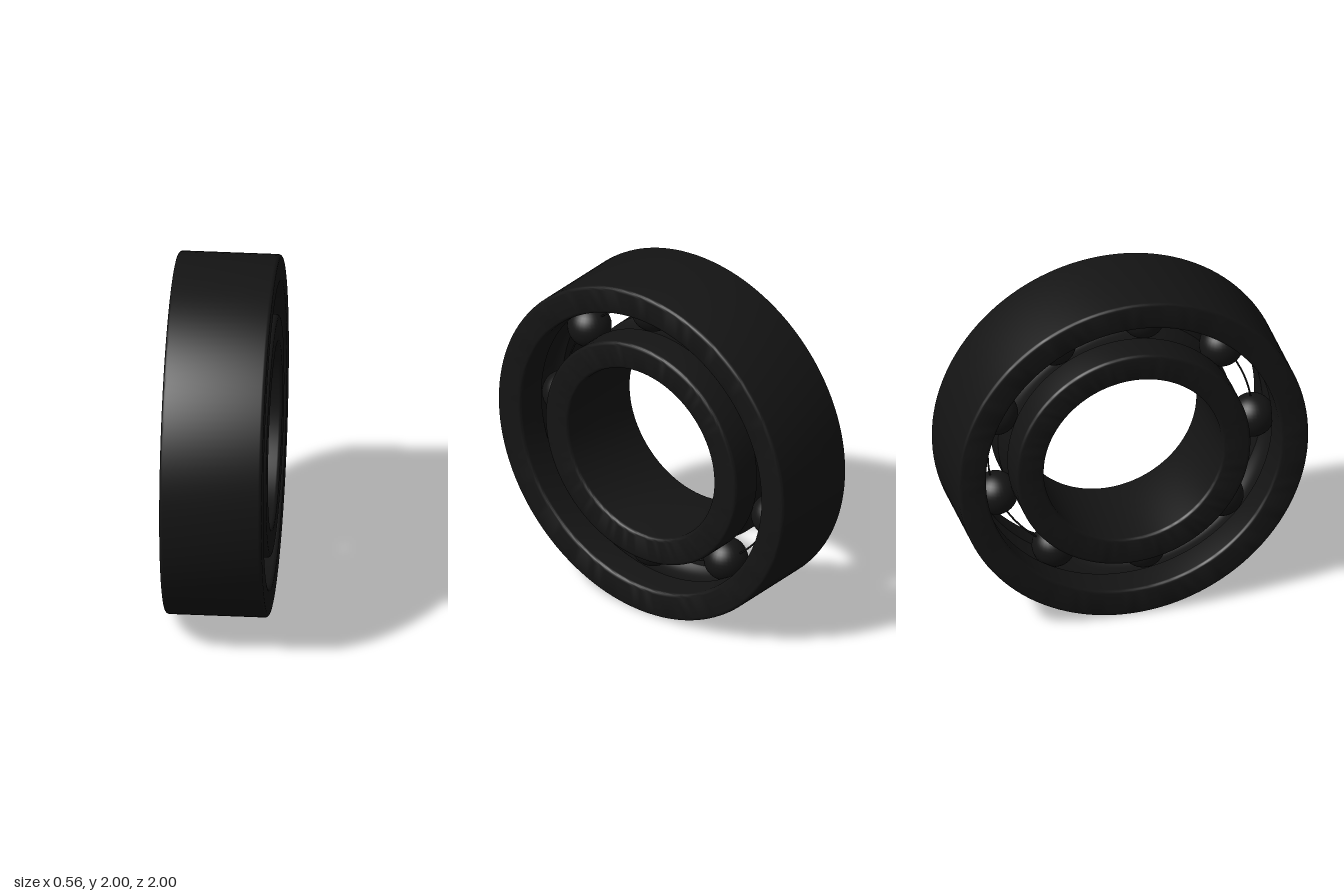
import * as THREE from 'three';
import { toCreasedNormals } from 'three/addons/utils/BufferGeometryUtils.js';

const HALF = 0.2825;   // half width along the axle
const PITCH = 0.755;   // radius of the circle of balls
const BALL = 0.123;
const GROOVE = 0.127;
const EDGE = 0.02;     // rounded edge radius
const BALLS = 9;

const material = new THREE.MeshStandardMaterial({ color: 0x141414 });

// Points of an arc in the (radius, axis) plane
function arc(cx, cy, r, from, to, steps) {
  return Array.from({ length: steps + 1 }, (_, i) => {
    const a = from + (to - from) * i / steps;
    return new THREE.Vector2(cx + r * Math.cos(a), cy + r * Math.sin(a));
  });
}

// Rounded rectangular ring section with a ball groove on one side
function race(name, rIn, rOut, grooveOutside) {
  const q = Math.PI / 2;
  const lo = rIn + EDGE, hi = rOut - EDGE, top = HALF - EDGE;
  const half = Math.acos(Math.abs((grooveOutside ? rOut : rIn) - PITCH) / GROOVE);
  const groove = grooveOutside
    ? arc(PITCH, 0, GROOVE, Math.PI + half, Math.PI - half, 16)
    : arc(PITCH, 0, GROOVE, half, -half, 16);
  const points = [
    ...arc(hi, -top, EDGE, -q, 0, 4),
    ...(grooveOutside ? groove : []),
    ...arc(hi, top, EDGE, 0, q, 4),
    ...arc(lo, top, EDGE, q, 2 * q, 4),
    ...(grooveOutside ? [] : groove),
    ...arc(lo, -top, EDGE, 2 * q, 3 * q, 4),
  ];
  points.push(points[0].clone());
  const geometry = toCreasedNormals(new THREE.LatheGeometry(points, 128), 0.6);
  geometry.rotateZ(-q);
  const mesh = new THREE.Mesh(geometry, material);
  mesh.name = name;
  return mesh;
}

export function createModel() {
  const bearing = new THREE.Group();
  bearing.name = 'ballBearing';
  bearing.position.y = 1;

  bearing.add(race('outerRing', 0.84, 1, false));
  bearing.add(race('innerRing', 0.51, 0.67, true));

  // Thin wire that links the balls
  const wire = new THREE.Mesh(new THREE.TorusGeometry(PITCH, 0.005, 8, 128), material);
  wire.name = 'cageWire';
  wire.rotation.y = Math.PI / 2;
  bearing.add(wire);

  // Balls evenly spaced around the track
  const balls = new THREE.Group();
  balls.name = 'balls';
  const ballGeometry = new THREE.SphereGeometry(BALL, 32, 20);
  for (let i = 0; i < BALLS; i++) {
    const a = i / BALLS * Math.PI * 2;
    const ball = new THREE.Mesh(ballGeometry, material);
    ball.name = 'ball' + (i + 1);
    ball.position.set(0, PITCH * Math.sin(a), PITCH * Math.cos(a));
    balls.add(ball);
  }
  bearing.add(balls);

  const model = new THREE.Group();
  model.name = 'bearingModel';
  model.add(bearing);
  return model;
}
